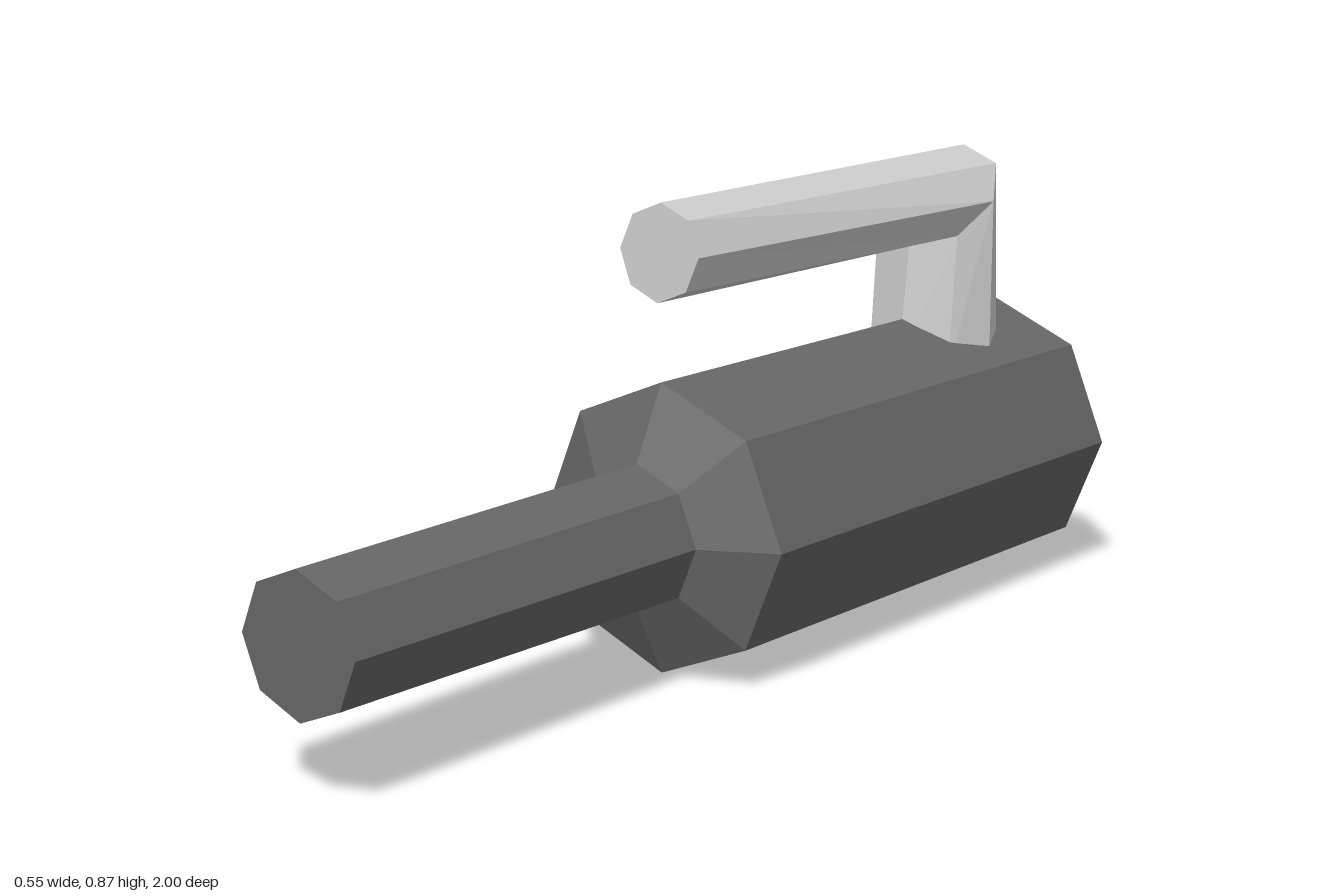
import * as THREE from 'three';

const SIDES = 8;

// Closed loft: each section has a centre (y, z), an in-plane radius vector (uy, uz) and a half width in x.
function loft(sections) {
  const pos = [], idx = [];
  for (const { y, z, uy, uz, w } of sections) {
    for (let i = 0; i < SIDES; i++) {
      const a = (i / SIDES) * Math.PI * 2, c = Math.cos(a);
      pos.push(Math.sin(a) * w, y + c * uy, z + c * uz);
    }
  }
  const last = sections.length - 1;
  const first = pos.length / 3, end = first + 1;
  pos.push(0, sections[0].y, sections[0].z, 0, sections[last].y, sections[last].z);
  for (let i = 0; i < SIDES; i++) {
    const j = (i + 1) % SIDES;
    for (let s = 0; s < last; s++) {
      const a = s * SIDES + i, b = s * SIDES + j;
      idx.push(a, a + SIDES, b, b, a + SIDES, b + SIDES);
    }
    idx.push(first, i, j, end, last * SIDES + j, last * SIDES + i);
  }
  const geo = new THREE.BufferGeometry();
  geo.setAttribute('position', new THREE.Float32BufferAttribute(pos, 3));
  geo.setIndex(idx);
  const flat = geo.toNonIndexed();
  flat.computeVertexNormals();
  return flat;
}

export function createModel() {
  const group = new THREE.Group();
  const dark = new THREE.MeshStandardMaterial({ color: 0x666666, flatShading: true });
  const light = new THREE.MeshStandardMaterial({ color: 0xcccccc, flatShading: true });

  // Octagonal body, shoulder and slightly tapered front barrel, turned about z
  const profile = [[0, -1], [0.273, -1], [0.273, 0.09], [0.136, 0.16], [0.128, 1], [0, 1]]
    .map(([r, z]) => new THREE.Vector2(r, z));
  const bodyGeo = new THREE.LatheGeometry(profile, SIDES).rotateX(Math.PI / 2);
  const body = new THREE.Mesh(bodyGeo, dark);
  body.name = 'bodyAndBarrel';
  body.position.y = 0.273;
  group.add(body);

  // Bent handle: post foot sunk in the body, mitred corner, tapered grip end
  const handle = new THREE.Mesh(loft([
    { y: 0.45, z: -0.782, uy: 0, uz: -0.124, w: 0.135 },
    { y: 0.782, z: -0.785, uy: 0.092, uz: -0.095, w: 0.135 },
    { y: 0.782, z: 0.095, uy: 0.09, uz: -0.005, w: 0.09 },
  ]), light);
  handle.name = 'handle';
  group.add(handle);

  return group;
}
